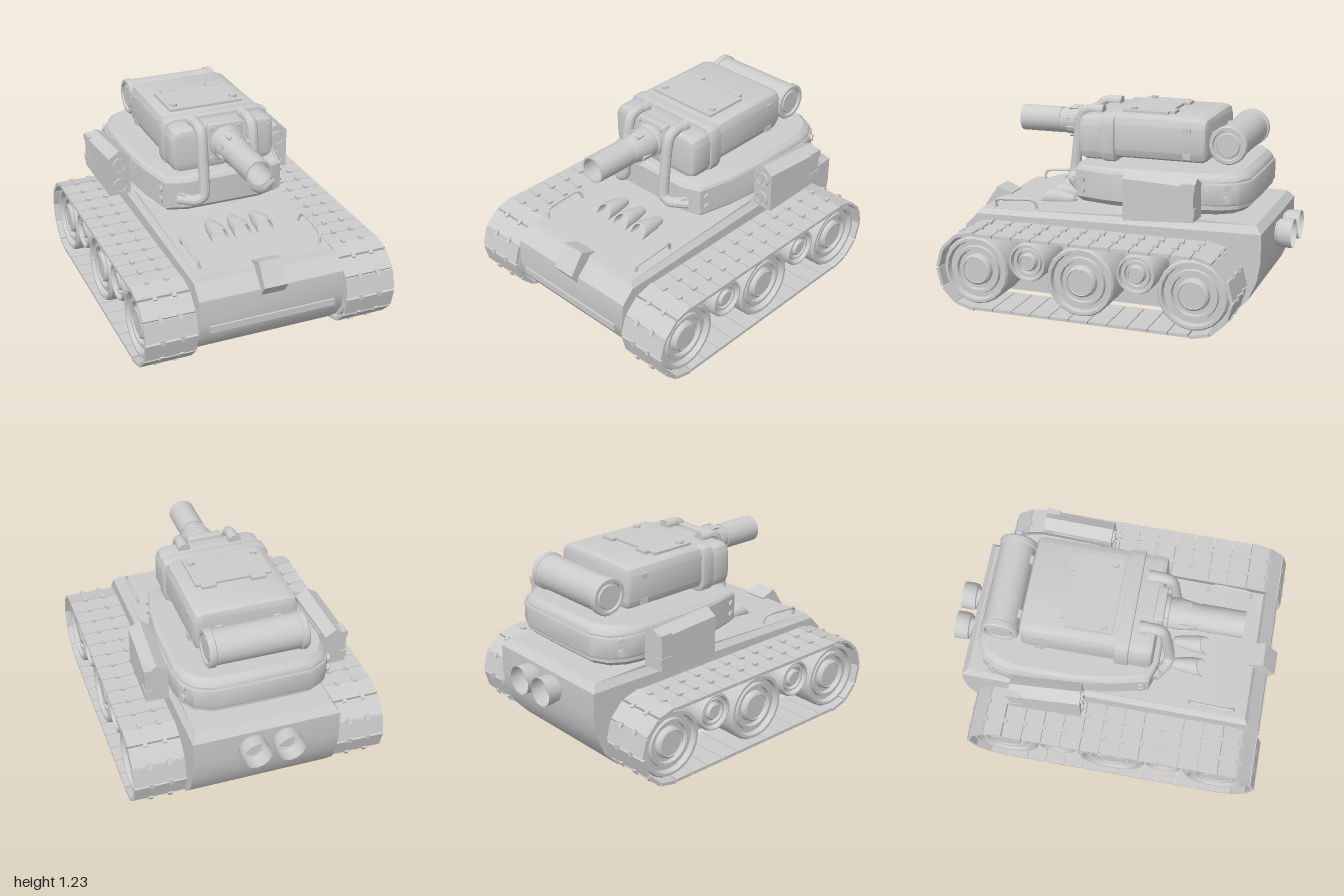
import * as THREE from 'three';
import { toCreasedNormals } from 'three/addons/utils/BufferGeometryUtils.js';

const material = new THREE.MeshStandardMaterial({ color: 0xcccccc, side: THREE.DoubleSide });
const V3 = (x, y, z) => new THREE.Vector3(x, y, z);

function add(parent, name, geometry, x = 0, y = 0, z = 0) {
  const mesh = new THREE.Mesh(toCreasedNormals(geometry, 0.5), material);
  mesh.name = name;
  mesh.position.set(x, y, z);
  parent.add(mesh);
  return mesh;
}
function group(parent, name) {
  const g = new THREE.Group();
  g.name = name;
  parent.add(g);
  return g;
}
const box = (w, h, d) => new THREE.BoxGeometry(w, h, d);
const shapeOf = (pts) => new THREE.Shape(pts.map(([a, b]) => new THREE.Vector2(a, b)));

// Side profile of [z, y] points, extruded across x and centred
function acrossX(pts, width) {
  return new THREE.ExtrudeGeometry(shapeOf(pts), { depth: width, bevelEnabled: false })
    .rotateY(-Math.PI / 2).translate(width / 2, 0, 0);
}
// Chamfered block from x/y half sizes, extruded from z0 to z1 with a bevel
function chamferBlock(hx, hy, corner, z0, z1, bevel) {
  const c = corner, k = corner * 0.3;
  const quarter = [[hx, hy - c], [hx - k, hy - k], [hx - c, hy]];
  const flip = (sx, sy) => quarter.map(([x, y]) => [x * sx, y * sy]);
  const pts = [...flip(1, 1), ...flip(-1, 1).reverse(), ...flip(-1, -1), ...flip(1, -1).reverse()];
  return new THREE.ExtrudeGeometry(shapeOf(pts), {
    depth: z1 - z0 - 2 * bevel, bevelThickness: bevel, bevelSize: bevel, bevelOffset: -bevel, bevelSegments: 2,
  }).translate(0, 0, z0 + bevel);
}
// Turned part about x or z, from [radius, distance along axis] points
function turned(pts, axis, sides = 20) {
  const g = new THREE.LatheGeometry(pts.map(([r, h]) => new THREE.Vector2(r, h)), sides);
  return axis === 'x' ? g.rotateZ(-Math.PI / 2) : g.rotateX(Math.PI / 2);
}
const rod = (r, length, axis, sides = 12) =>
  turned([[0, -length / 2], [r, -length / 2], [r, length / 2], [0, length / 2]], axis, sides);
const tube = (pts, r, seg = 40) => new THREE.TubeGeometry(new THREE.CatmullRomCurve3(pts, false, 'catmullrom', 0.25), seg, r, 12);

// Closed solid between stacked copies of an outline; levels are [y, scale, rear rise]
function stack(half, levels, zc) {
  const ring = [...half, ...half.filter(([x]) => x > 0).reverse().map(([x, z]) => [-x, z])];
  const n = ring.length, pos = [], idx = [];
  levels.forEach(([y, s, rise = 0]) => ring.forEach(([x, z]) =>
    pos.push(x * s, y + rise * (0.27 - z), zc + (z - zc) * s)));
  for (let l = 0; l < levels.length - 1; l++) for (let i = 0; i < n; i++) {
    const a = l * n + i, b = l * n + (i + 1) % n;
    idx.push(a, b, b + n, a, b + n, a + n);
  }
  const top = (levels.length - 1) * n;
  for (let i = 1; i < n - 1; i++) idx.push(0, i + 1, i, top, top + i, top + i + 1);
  const g = new THREE.BufferGeometry();
  g.setAttribute('position', new THREE.Float32BufferAttribute(pos, 3));
  g.setIndex(idx);
  return g;
}

function buildHull(root) {
  const hull = group(root, 'hull');
  add(hull, 'hullBody', acrossX([[0.87, 0.53], [0.95, 0.45], [0.965, 0.3], [0.945, 0.2], [0.89, 0.12], [0.81, 0.05],
    [-0.8, 0.05], [-0.9, 0.16], [-0.95, 0.28], [-0.97, 0.4], [-0.97, 0.57]], 0.92));
  const deck = acrossX([[0.87, 0.53], [-0.97, 0.57], [-0.93, 0.615], [-0.55, 0.62], [0.85, 0.56]], 0.92);
  const p = deck.attributes.position;
  for (let i = 0; i < p.count; i++) if (p.getY(i) > 0.555 && p.getZ(i) > -0.96) p.setX(i, Math.sign(p.getX(i)) * 0.43);
  add(hull, 'deck', deck);
  add(hull, 'noseBlock', acrossX([[0.81, 0.57], [0.91, 0.61], [1, 0.48], [0.945, 0.4], [0.87, 0.42]], 0.15));
  add(hull, 'noseBar', box(0.8, 0.042, 0.03), 0, 0.263, 0.96);
  add(hull, 'turretRing', new THREE.CylinderGeometry(0.38, 0.44, 0.07, 28), 0, 0.63, -0.27);
  // Hooded lamps, with the mouth slanted back towards the top
  for (const x of [-0.15, 0, 0.15]) {
    const hood = turned([[0.0, -0.12], [0.028, -0.1], [0.045, -0.03], [0.056, 0.05], [0.058, 0.1],
      [0.05, 0.1], [0.046, 0.03], [0, 0.03]], 'z', 16);
    const q = hood.attributes.position;
    for (let i = 0; i < q.count; i++) if (q.getZ(i) > 0) q.setZ(i, q.getZ(i) - q.getY(i) * 0.7);
    add(hull, 'hoodedLamp', hood, x, 0.59, 0.43);
  }
  for (const s of [-1, 1]) {
    add(hull, 'deckHandle', tube([V3(s * 0.385, 0.56, 0.77), V3(s * 0.395, 0.61, 0.765), V3(s * 0.405, 0.622, 0.73),
      V3(s * 0.405, 0.635, 0.54), V3(s * 0.395, 0.62, 0.5), V3(s * 0.385, 0.57, 0.485)], 0.009));
    add(hull, 'exhaust', turned([[0, -0.03], [0.05, -0.03], [0.055, 0], [0.07, 0.005], [0.072, -0.005], [0.085, -0.01],
      [0.09, -0.04], [0.09, -0.1]].map(([r, z]) => [r, -z]).reverse(), 'z', 14).rotateY(Math.PI), s * 0.105, 0.49, -0.99);
  }
}

function buildTracks(root) {
  const cy = 0.26, zf = 0.737, zr = -0.645, R = 0.235;
  const straight = zf - zr, arc = Math.PI * R, total = 2 * (straight + arc);
  // Position and tilt at a distance along the track loop
  const place = (mesh, s, out) => {
    s = (s + total) % total;
    let z, a;
    if (s < straight) { z = zr + s; a = 0; }
    else if (s < straight + arc) { z = zf; a = (s - straight) / R; }
    else if (s < 2 * straight + arc) { z = zf - (s - straight - arc); a = Math.PI; }
    else { z = zr; a = Math.PI + (s - 2 * straight - arc) / R; }
    mesh.position.z = z + (R + out) * Math.sin(a);
    mesh.position.y = cy + (R + out) * Math.cos(a);
    mesh.rotation.x = a;
  };
  const wheelProfile = [[0, 0.49], [0.215, 0.49], [0.215, 0.755], [0.205, 0.77], [0.187, 0.77], [0.18, 0.735], [0.155, 0.735],
    [0.15, 0.755], [0.13, 0.755], [0.125, 0.73], [0.1, 0.73], [0.095, 0.755], [0.083, 0.765], [0.08, 0.758], [0, 0.758]];
  for (const s of [-1, 1]) {
    const side = group(root, s > 0 ? 'leftTrack' : 'rightTrack');
    side.scale.x = s;
    const count = 34, pitch = total / count;
    for (let i = 0; i < count; i++) {
      place(add(side, 'trackPad', box(0.32, 0.02, pitch - 0.006), 0.64), (i + 0.5) * pitch, 0);
      for (const x of [0.575, 0.695]) place(add(side, 'trackCleat', box(0.024, 0.022, 0.035), x), i * pitch, 0.014);
    }
    for (const z of [zf, 0.05, zr]) {
      add(side, 'roadWheel', turned(wheelProfile, 'x'), 0, cy, z);
      add(side, 'axle', rod(0.1, 0.1, 'x', 16), 0.47, cy, z);
    }
    for (const z of [0.39, -0.3]) {
      add(side, 'returnWheel', turned(wheelProfile.map(([r, h]) => [r * 0.56, h]), 'x'), 0, 0.345, z);
      add(side, 'axle', rod(0.06, 0.1, 'x', 16), 0.47, 0.345, z);
    }
  }
}

function buildTurret(root) {
  const turret = group(root, 'turret');
  const outline = [[0, 0.26], [0.26, 0.26], [0.385, 0.22], [0.44, 0], [0.47, -0.25], [0.475, -0.62], [0.455, -0.72],
    [0.4, -0.81], [0.3, -0.86], [0, -0.865]];
  add(turret, 'turretBody', stack(outline, [[0.65, 0.93, 0.01], [0.685, 1, 0.01], [0.85, 1, 0.015],
    [0.866, 0.98, 0.02], [0.868, 0.95, 0.03], [0.875, 0.93, 0.035]], -0.3));
  add(turret, 'rearBelt', stack([[0, -0.5], [0.484, -0.5], [0.484, -0.63], [0.464, -0.73], [0.408, -0.82], [0.305, -0.872], [0, -0.878]],
    [[0.72, 0.99], [0.73, 1], [0.845, 1], [0.855, 0.99]], -0.5));
  for (const s of [-1, 1]) {
    const side = group(turret, s > 0 ? 'leftFittings' : 'rightFittings');
    side.scale.x = s;
    for (const y of [0.73, 0.8]) {
      add(side, 'frontBolt', rod(0.022, 0.03, 'x'), 0.395, y, 0.175).rotation.y = -0.25;
      add(side, 'rearBolt', rod(0.022, 0.03, 'x'), 0.45, y + 0.03, -0.755).rotation.y = 0.5;
    }
    // Launcher box with two slotted tube covers
    const pod = group(side, 'sidePod');
    pod.position.set(0.545, 0, -0.17);
    pod.rotation.y = -0.045;
    const shell = new THREE.ExtrudeGeometry(shapeOf([[-0.07, 0.625], [0.07, 0.625], [0.07, 0.88], [0, 0.925], [-0.07, 0.88]]),
      { depth: 0.44, bevelEnabled: false }).translate(0, 0, -0.44);
    const p = shell.attributes.position;
    for (let i = 0; i < p.count; i++) if (p.getZ(i) < -0.3) p.setY(i, 0.8 + (p.getY(i) - 0.8) * 0.82);
    add(pod, 'podShell', shell);
    for (const y of [0.69, 0.83]) {
      add(pod, 'tubeCover', turned([[0.048, 0], [0.048, 0.012], [0.04, 0.012], [0.038, 0.006], [0, 0.006]], 'z'), 0, y, 0);
      add(pod, 'coverSlot', box(0.012, 0.078, 0.008), 0, y, 0.008).rotation.z = -0.2;
    }
    for (const y of [0.725, 0.87]) add(pod, 'podHinge', box(0.05, 0.045, 0.085), 0.05, y - 0.01, -0.405);
    add(pod, 'podBracket', box(0.08, 0.16, 0.3), -0.08, 0.77, -0.22);
  }
}

function buildGunHouse(root) {
  const house = group(root, 'gunHouse');
  add(house, 'rearCasing', chamferBlock(0.325, 0.137, 0.06, -0.59, 0.04, 0.04), 0, 1.06, 0);
  add(house, 'collar', chamferBlock(0.342, 0.15, 0.06, -0.01, 0.08, 0.012), 0, 1.045, 0);
  add(house, 'frontCasing', chamferBlock(0.335, 0.138, 0.06, 0.05, 0.225, 0.035), 0, 1.04, 0);
  add(house, 'roofHatch', box(0.48, 0.025, 0.29), -0.01, 1.2, -0.175);
  for (const s of [-1, 1]) {
    add(house, 'hatchHinge', box(0.09, 0.03, 0.04), s * 0.155, 1.2, -0.335);
    add(house, 'hatchStud', new THREE.CylinderGeometry(0.024, 0.024, 0.025, 12), s * 0.2 - 0.01, 1.215, -0.09);
    for (const y of [0.97, 1.125]) add(house, 'sideLatch', box(0.015, 0.035, 0.05), s * 0.322, y, -0.47);
    // Hose from the roof, down the front and into the turret
    add(house, 'hose', tube([V3(s * 0.165, 1.185, 0.12), V3(s * 0.165, 1.188, 0.2), V3(s * 0.165, 1.17, 0.25), V3(s * 0.165, 1.1, 0.275),
      V3(s * 0.165, 0.83, 0.31), V3(s * 0.175, 0.77, 0.315), V3(s * 0.22, 0.745, 0.305), V3(s * 0.31, 0.745, 0.24)], 0.034, 60));
    add(house, 'hoseRoofCap', rod(0.04, 0.05, 'z', 14), s * 0.165, 1.182, 0.14);
    add(house, 'hoseFlange', rod(0.042, 0.03, 'z', 14), s * 0.295, 0.745, 0.255).rotation.y = s * 0.8;
  }
  // Gun with hollow muzzle
  add(house, 'gunMount', chamferBlock(0.115, 0.12, 0.02, 0.19, 0.25, 0.012), 0, 1.08, 0);
  for (const x of [-0.092, 0.092]) for (const y of [0.985, 1.175]) add(house, 'mountBolt', rod(0.013, 0.02, 'z', 8), x, y, 0.255);
  add(house, 'gunBarrel', turned([[0.105, 0.22], [0.105, 0.27], [0.095, 0.28], [0.098, 0.34], [0.088, 0.4], [0.078, 0.46],
    [0.083, 0.46], [0.083, 0.73], [0.072, 0.73], [0.07, 0.5], [0, 0.5]], 'z', 24), 0, 1.075, 0);
  for (let i = 0; i < 8; i++) {
    const a = (i + 0.5) * Math.PI / 4;
    add(house, 'barrelRib', box(0.025, 0.02, 0.06), Math.cos(a) * 0.092, 1.075 + Math.sin(a) * 0.092, 0.37).rotation.z = a + Math.PI / 2;
  }
  // Drum across the back
  const drum = [[0.3, 0], [0.3, 0.07], [0.29, 0.075], [0.29, 0.088], [0.305, 0.092], [0.305, 0.11], [0.295, 0.117], [0.265, 0.117], [0.26, 0.108]];
  const right = drum.map(([x, r]) => [r, -x]), left = drum.map(([x, r]) => [r, x]).reverse();
  add(house, 'rearDrum', turned([...right, ...left], 'x', 24), 0, 1.05, -0.715);
  for (const s of [-1, 1]) add(house, 'drumBracket', box(0.05, 0.1, 0.1), s * 0.18, 1.05, -0.6);
}

export function createModel() {
  const root = new THREE.Group();
  root.name = 'tank';
  buildHull(root);
  buildTracks(root);
  buildTurret(root);
  buildGunHouse(root);
  return root;
}
